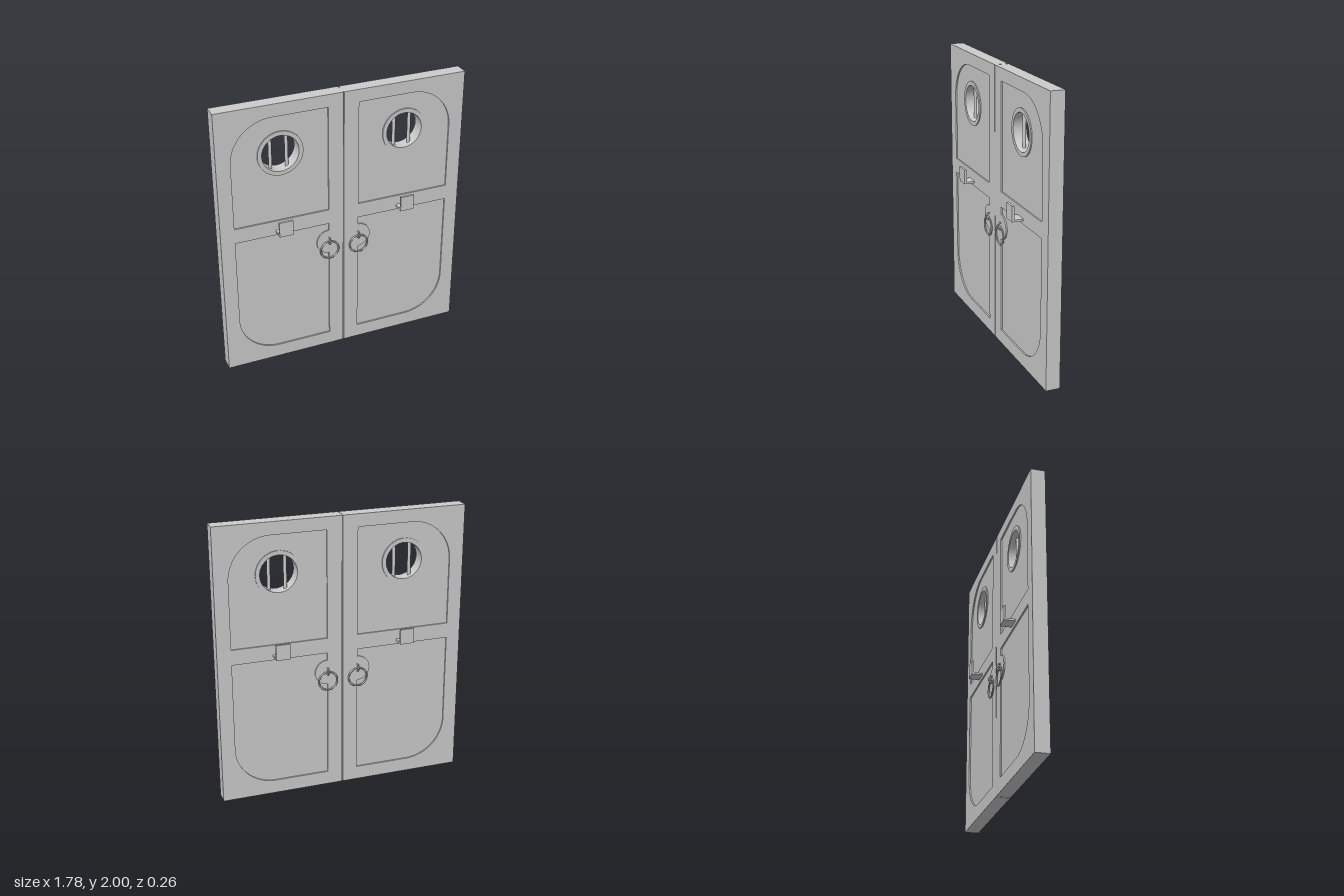
import * as THREE from 'three';
import { toCreasedNormals } from 'three/addons/utils/BufferGeometryUtils.js';

const material = new THREE.MeshStandardMaterial({ color: 0xcccccc });

function add(parent, name, geometry, x = 0, y = 0, z = 0) {
  const mesh = new THREE.Mesh(geometry, material);
  mesh.name = name;
  mesh.position.set(x, y, z);
  parent.add(mesh);
  return mesh;
}

// Extrudes a shape so that it is centred on z = 0
function slab(shape, thickness) {
  const geometry = new THREE.ExtrudeGeometry(shape, { depth: thickness, bevelEnabled: false, curveSegments: 24 });
  geometry.translate(0, 0, -thickness / 2);
  return toCreasedNormals(geometry, 0.6);
}

function rectangle(x0, y0, x1, y1) {
  return new THREE.Shape([
    new THREE.Vector2(x0, y0), new THREE.Vector2(x1, y0),
    new THREE.Vector2(x1, y1), new THREE.Vector2(x0, y1),
  ]);
}

function circle(x, y, r) {
  return new THREE.Path().absarc(x, y, r, 0, Math.PI * 2, false);
}

const WINDOW = { x: 0.447, y: 1.64, outer: 0.16, inner: 0.13 };
const HANDLE_X = 0.11;

// Stiles and rails with two openings, each rounded at the outer corner
function frameShape() {
  const shape = rectangle(0.003, 0, 0.89, 2);

  const upper = new THREE.Path();
  upper.moveTo(0.11, 1.14);
  upper.lineTo(0.79, 1.14);
  upper.lineTo(0.79, 1.62);
  upper.absarc(0.5, 1.62, 0.29, 0, Math.PI / 2, false);
  upper.lineTo(0.11, 1.91);
  upper.closePath();

  // The lower opening is notched by the round boss behind the handle
  const lower = new THREE.Path();
  lower.moveTo(0.11, 0.1);
  lower.lineTo(0.5, 0.1);
  lower.absarc(0.5, 0.39, 0.29, -Math.PI / 2, 0, false);
  lower.lineTo(0.79, 1.03);
  lower.lineTo(0.11, 1.03);
  lower.lineTo(0.11, 0.975);
  lower.absarc(HANDLE_X, 0.885, 0.09, Math.PI / 2, -Math.PI / 2, true);
  lower.closePath();

  shape.holes.push(upper, lower);
  return shape;
}

// Bracket and pull ring on one face of the leaf; side is +1 or -1 in z
function addHardware(leaf, side) {
  const hardware = new THREE.Group();
  hardware.name = side > 0 ? 'frontHardware' : 'backHardware';
  leaf.add(hardware);

  // L-shaped bar bracket
  add(hardware, 'bracketShelf', new THREE.BoxGeometry(0.1, 0.014, 0.09), 0.45, 1.062, side * 0.085);
  add(hardware, 'bracketLip', new THREE.BoxGeometry(0.1, 0.11, 0.016), 0.45, 1.11, side * 0.122);

  // Staple and hanging ring
  const staple = add(hardware, 'handleStaple', new THREE.TorusGeometry(0.024, 0.006, 10, 28), HANDLE_X, 0.892, side * 0.052);
  staple.rotation.y = Math.PI / 2;
  add(hardware, 'handleRing', new THREE.TorusGeometry(0.067, 0.006, 10, 48), HANDLE_X, 0.823, side * 0.06);
}

function createLeaf(name) {
  const leaf = new THREE.Group();
  leaf.name = name;

  add(leaf, 'frame', slab(frameShape(), 0.1));

  // Recessed panel pierced by the round window
  const panel = rectangle(0, 0.002, 0.85, 1.998);
  panel.holes.push(circle(WINDOW.x, WINDOW.y, 0.145));
  add(leaf, 'panel', slab(panel, 0.08));

  // Window surround and bars
  const rim = new THREE.Shape().absarc(WINDOW.x, WINDOW.y, WINDOW.outer, 0, Math.PI * 2, false);
  rim.holes.push(circle(WINDOW.x, WINDOW.y, WINDOW.inner));
  add(leaf, 'windowRim', slab(rim, 0.096));
  for (const dx of [-0.057, 0.057]) {
    add(leaf, 'windowBar', new THREE.CylinderGeometry(0.012, 0.012, 0.25, 12), WINDOW.x + dx, WINDOW.y, 0);
  }

  for (const side of [1, -1]) addHardware(leaf, side);
  return leaf;
}

export function createModel() {
  const model = new THREE.Group();
  model.name = 'doubleDoor';
  model.add(createLeaf('leftLeaf'));

  // Both faces match, so a half turn gives the other leaf
  const right = createLeaf('rightLeaf');
  right.rotation.y = Math.PI;
  model.add(right);
  return model;
}
